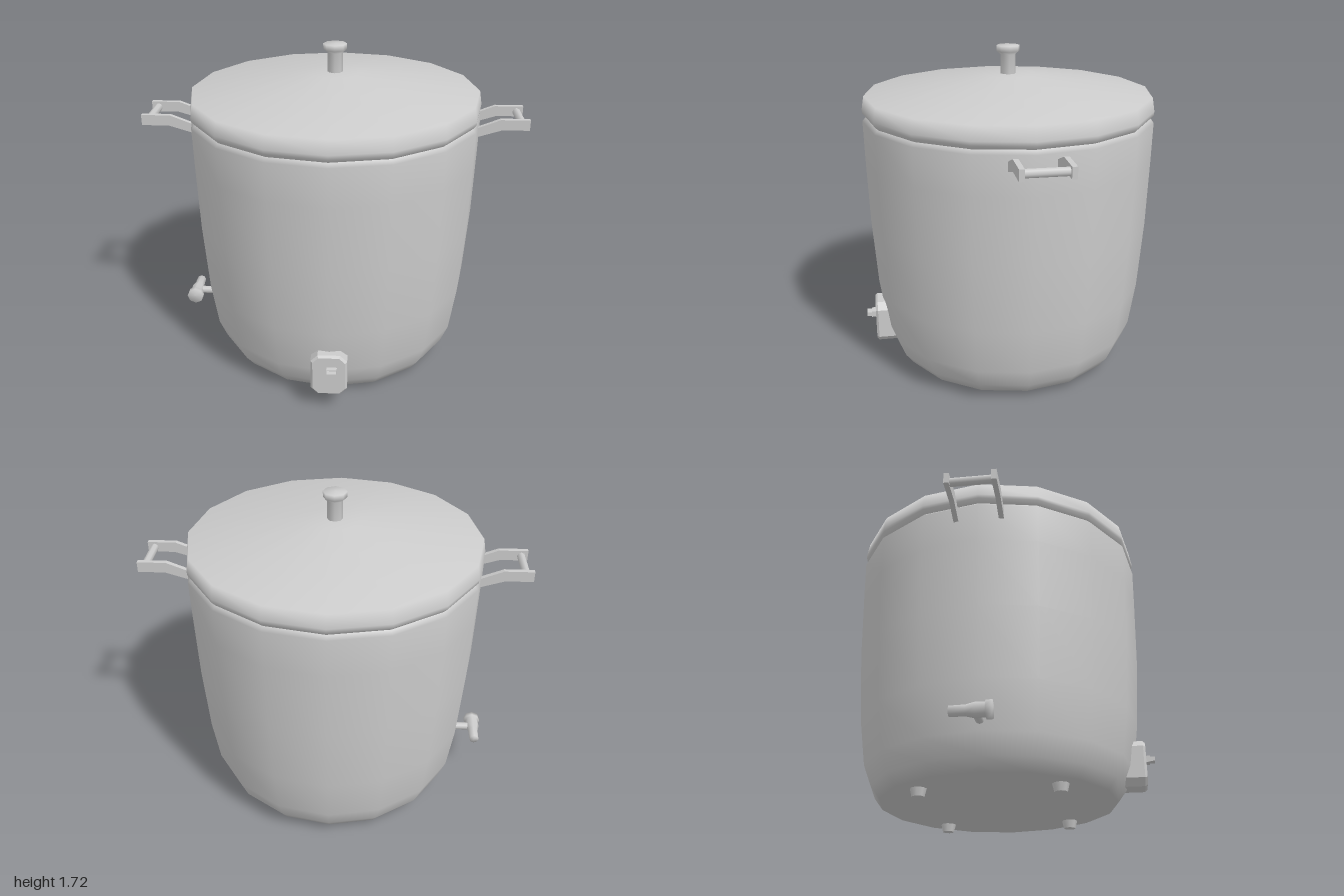
import * as THREE from 'three';

const material = new THREE.MeshStandardMaterial({ color: 0xcccccc, side: THREE.DoubleSide });
const CZ = -0.02; // the pot's axis sits slightly behind the middle

function add(parent, name, geometry, x = 0, y = 0, z = 0) {
  const mesh = new THREE.Mesh(geometry, material);
  mesh.name = name;
  mesh.position.set(x, y, z);
  parent.add(mesh);
  return mesh;
}

const lathe = (points, sides) =>
  new THREE.LatheGeometry(points.map(([r, y]) => new THREE.Vector2(r, y)), sides);

function polygon(points) {
  return new THREE.Shape(points.map(([x, y]) => new THREE.Vector2(x, y)));
}

// Two bent side arms joined by a round grip, built pointing to +x
function createHandle(name) {
  const handle = new THREE.Group();
  handle.name = name;
  const arm = new THREE.ExtrudeGeometry(
    polygon([[0.73, 1.27], [0.86, 1.31], [1, 1.31], [1, 1.365], [0.85, 1.365], [0.73, 1.318]]),
    { depth: 0.025, bevelEnabled: false });
  for (const z of [-0.125, 0.1]) add(handle, 'handleArm', arm, 0, 0, z);
  const grip = add(handle, 'handleGrip', new THREE.CylinderGeometry(0.021, 0.021, 0.23, 8), 0.965, 1.335, 0);
  grip.rotation.x = Math.PI / 2;
  handle.position.z = CZ;
  return handle;
}

export function createModel() {
  const model = new THREE.Group();
  model.name = 'cookingPot';

  // Body with rounded base and a narrow groove under the lid
  add(model, 'body', lathe([
    [0, 0.04], [0.605, 0.04], [0.65, 0.1], [0.69, 0.2], [0.724, 0.44],
    [0.748, 0.8], [0.758, 1.15], [0.762, 1.35], [0.742, 1.37],
  ], 16), 0, 0, CZ);

  // Lid: short rim, shallow cone, small flat centre
  add(model, 'lid', lathe([
    [0.742, 1.37], [0.76, 1.39], [0.762, 1.41], [0.75, 1.48], [0.13, 1.575], [0, 1.575],
  ], 16), 0, 0, CZ);

  // Knob on the lid
  add(model, 'lidKnob', lathe([
    [0.04, 1.56], [0.04, 1.675], [0.06, 1.69], [0.061, 1.72], [0, 1.722],
  ], 8), 0, 0, CZ);

  // Side handles
  model.add(createHandle('leftHandle'));
  const rightHandle = createHandle('rightHandle');
  rightHandle.rotation.y = Math.PI;
  model.add(rightHandle);

  // Four tapered feet
  for (const x of [-0.37, 0.37])
    for (const z of [-0.335, 0.335])
      add(model, 'foot', new THREE.CylinderGeometry(0.042, 0.031, 0.045, 8), x, 0.0225, z + CZ + 0.005);

  // Control panel with cut corners
  const w = 0.082, h = 0.107, c = 0.03;
  const panel = new THREE.ExtrudeGeometry(
    polygon([[-w + c, -h], [w - c, -h], [w, -h + c], [w, h - c], [w - c, h], [-w + c, h], [-w, h - c], [-w, -h + c]]),
    { depth: 0.16, bevelThickness: 0.012, bevelSize: 0.01, bevelSegments: 1 });
  add(model, 'controlPanel', panel, 0, 0.218, 0.56);

  // Switch lever, wider at its root
  add(model, 'switchRoot', new THREE.BoxGeometry(0.052, 0.032, 0.03), 0.015, 0.255, 0.74);
  add(model, 'switchTip', new THREE.BoxGeometry(0.048, 0.022, 0.04), 0.015, 0.255, 0.76);

  // Tap: a stem out of the right side carrying a flared barrel along z
  const stem = add(model, 'tapStem', new THREE.CylinderGeometry(0.021, 0.021, 0.18, 8), -0.73, 0.25, -0.01);
  stem.rotation.z = Math.PI / 2;
  const barrel = add(model, 'tapBarrel', lathe([
    [0, -0.125], [0.026, -0.125], [0.028, -0.05], [0.038, -0.01], [0.036, 0.035],
    [0.046, 0.04], [0.046, 0.065], [0, 0.067],
  ], 8), -0.808, 0.25, 0);
  barrel.rotation.x = Math.PI / 2;

  return model;
}
